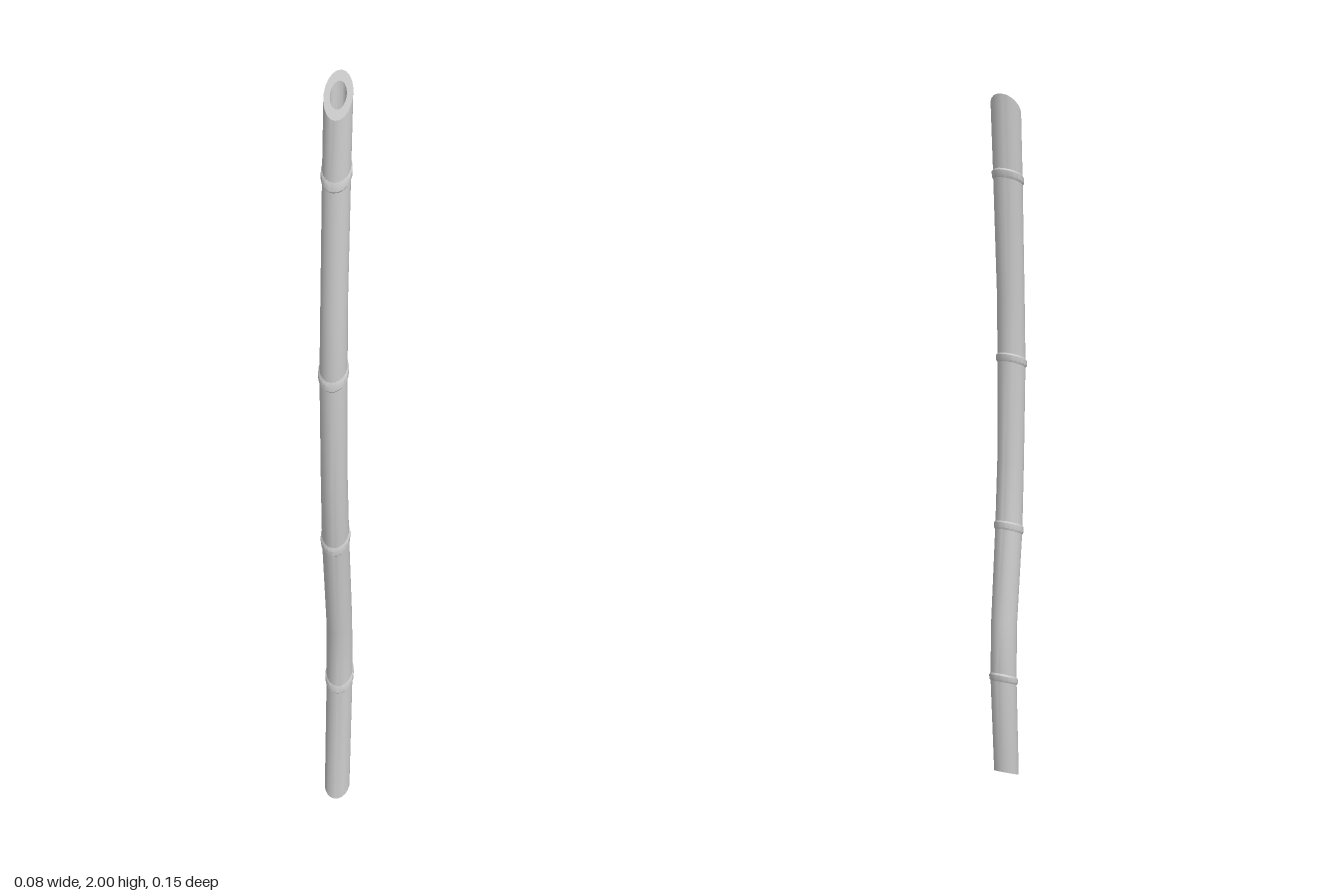
import * as THREE from 'three';
import { toCreasedNormals } from 'three/addons/utils/BufferGeometryUtils.js';

const SIDES = 20;

// Skin a list of slanted rings { y, z, r, k }; k is how much the ring rises towards the back
function loft(name, rings, material) {
  const positions = [], index = [];
  rings.forEach(({ y, z, r, k }, i) => {
    for (let j = 0; j < SIDES; j++) {
      const a = (j / SIDES) * Math.PI * 2;
      const dz = r * Math.sin(a);
      positions.push(-0.005 + 0.004 * y + r * 1.03 * Math.cos(a), y - k * dz, z + dz);
      if (i === 0) continue;
      const n = (j + 1) % SIDES, lo = (i - 1) * SIDES, hi = i * SIDES;
      index.push(lo + j, hi + j, lo + n, hi + j, hi + n, lo + n);
    }
  });
  const geometry = new THREE.BufferGeometry();
  geometry.setAttribute('position', new THREE.Float32BufferAttribute(positions, 3));
  geometry.setIndex(index);
  const mesh = new THREE.Mesh(toCreasedNormals(geometry, 0.5), material);
  mesh.name = name;
  return mesh;
}

export function createModel() {
  const group = new THREE.Group();
  group.name = 'bambooStick';
  const material = new THREE.MeshStandardMaterial({ color: 0xcccccc });

  // Centre line of the stalk, with slanted joints and bends: y, z, radius, slant
  const path = [
    [0.027, -0.018, 0.032, 0.83],
    [0.36, -0.04, 0.033, 0.85],
    [0.53, -0.033, 0.032, 0.95],
    [0.8, 0.014, 0.033, 0.85],
    [0.99, 0.032, 0.032, 0.8],
    [1.27, 0.042, 0.033, 0.85],
    [1.435, 0.039, 0.032, 0.8],
    [1.77, 0.018, 0.033, 0.85],
    [1.95, 0.004, 0.0335, 1.49],
  ].map(([y, z, r, k]) => ({ y, z, r, k }));
  const bottom = path[0], top = path[path.length - 1];

  // Hollow ends, closed off inside at the first and last joint
  const bore = 0.019;
  const bottomBore = [
    { ...path[1], r: 0, k: 0 },
    { ...path[1], r: bore, k: 0 },
    { ...bottom, r: 0.017 },
  ];
  const topBore = [
    { ...top, r: bore },
    { ...path[7], r: bore, k: 0 },
    { ...path[7], r: 0, k: 0 },
  ];
  group.add(loft('stalk', [...bottomBore, ...path, ...topBore], material));

  // Raised bands around the joints
  for (const i of [1, 3, 5, 7]) {
    const joint = path[i], before = path[i - 1], after = path[i + 1];
    const lean = (after.z - before.z) / (after.y - before.y);
    const band = [[-0.014, -0.001], [-0.007, 0.003], [0.007, 0.003], [0.014, -0.001]].map(
      ([dy, dr]) => ({ y: joint.y + dy, z: joint.z + lean * dy, r: joint.r + dr, k: joint.k })
    );
    group.add(loft('jointRing', band, material));
  }
  return group;
}
